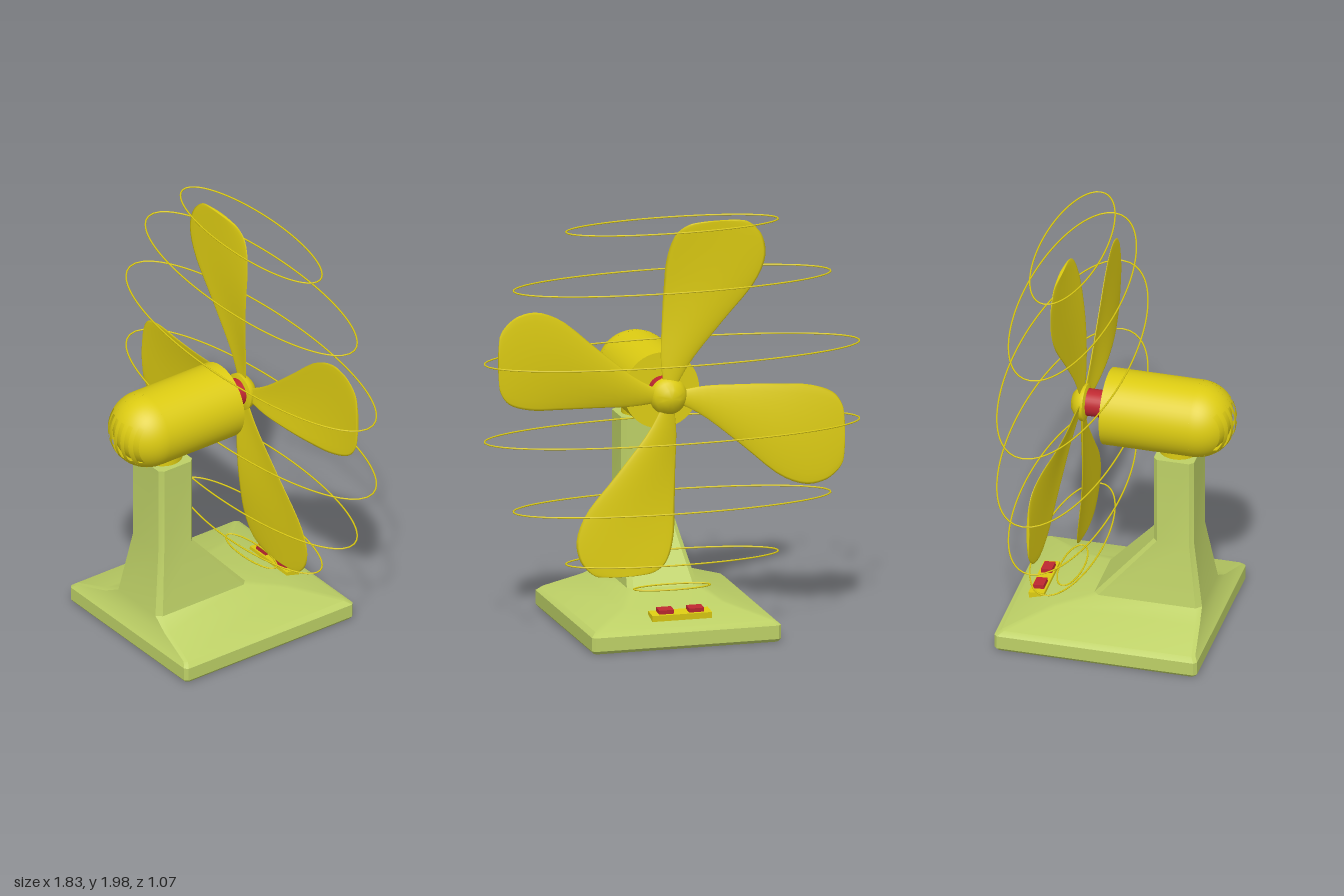
import * as THREE from 'three';
import { mergeVertices, toCreasedNormals } from 'three/addons/utils/BufferGeometryUtils.js';

const yellow = new THREE.MeshStandardMaterial({ color: 0xdccb12, side: THREE.DoubleSide });
yellow.name = 'yellow enamel';
const green = new THREE.MeshStandardMaterial({ color: 0xbdd066 });
green.name = 'pale green enamel';
const red = new THREE.MeshStandardMaterial({ color: 0xbe2830 });
red.name = 'red plastic';

const AXIS_Y = 1.14;

function add(parent, name, geometry, material, x = 0, y = 0, z = 0) {
  const mesh = new THREE.Mesh(geometry, material);
  mesh.name = name;
  mesh.position.set(x, y, z);
  parent.add(mesh);
  return mesh;
}

// Skin a stack of equal-length rings (ordered bottom to top) and cap both ends
function loft(rings) {
  const n = rings[0].length, pos = [], idx = [];
  rings.forEach(r => r.forEach(p => pos.push(...p)));
  for (let i = 0; i < rings.length - 1; i++) {
    for (let j = 0; j < n; j++) {
      const a = i * n + j, b = i * n + (j + 1) % n;
      idx.push(a, b, b + n, a, b + n, a + n);
    }
  }
  [0, rings.length - 1].forEach((k, top) => {
    const centre = [0, 1, 2].map(c => rings[k].reduce((s, p) => s + p[c], 0) / n);
    const m = pos.length / 3;
    pos.push(...centre);
    for (let j = 0; j < n; j++) {
      const a = k * n + j, b = k * n + (j + 1) % n;
      if (top) idx.push(m, a, b); else idx.push(m, b, a);
    }
  });
  const g = new THREE.BufferGeometry();
  g.setAttribute('position', new THREE.Float32BufferAttribute(pos, 3));
  g.setIndex(idx);
  g.computeVertexNormals();
  return g;
}

// Rectangle section with chamfered corners
function section([y, hx, z0, z1, c]) {
  return [[hx, y, z1 - c], [hx, y, z0 + c], [hx - c, y, z0], [-hx + c, y, z0],
    [-hx, y, z0 + c], [-hx, y, z1 - c], [-hx + c, y, z1], [hx - c, y, z1]];
}

function buildStand() {
  const levels = [ // y, half width, back z, front z, chamfer
    [0, 0.448, -0.503, 0.453, 0.012],
    [0.015, 0.46, -0.515, 0.465, 0.015],
    [0.08, 0.46, -0.515, 0.465, 0.015],
    [0.1, 0.435, -0.485, 0.45, 0.015],
    [0.155, 0.25, -0.29, 0.422, 0.02],
    [0.2, 0.17, -0.11, 0.41, 0.025],
    [0.51, 0.12, 0.165, 0.36, 0.02],
    [0.955, 0.12, 0.165, 0.36, 0.02],
  ];
  return toCreasedNormals(loft(levels.map(section)), 0.45);
}

// Domed motor cover: sphere bands about the x axis, with windows cut for the vents
function buildDome(group, R, z) {
  const edges = [-R];
  for (let i = 0; i < 6; i++) {
    const x = (i - 2.5) * 0.044;
    edges.push(x - 0.011, x + 0.011);
  }
  edges.push(R);
  const band = (x0, x1, p0, p1) => {
    const t0 = Math.acos(x1 / R), t1 = Math.acos(x0 / R);
    const segs = Math.max(2, Math.ceil((t1 - t0) / 0.1));
    const g = new THREE.SphereGeometry(R, 24, segs, p0, p1 - p0, t0, t1 - t0);
    g.rotateZ(-Math.PI / 2);
    add(group, 'motorDome', g, yellow, 0, AXIS_Y, z);
  };
  for (let i = 0; i < edges.length - 1; i++) {
    const x0 = edges[i], x1 = edges[i + 1];
    if (i % 2) {
      const mid = (x0 + x1) / 2;
      const a = Math.asin(0.095 / Math.sqrt(R * R - mid * mid));
      band(x0, x1, 0, Math.PI / 2 - a);
      band(x0, x1, Math.PI / 2 + a, Math.PI);
    } else band(x0, x1, 0, Math.PI);
  }
  // Inner shell seen through the vents
  const inner = new THREE.SphereGeometry(R - 0.022, 32, 16, 0, Math.PI);
  add(group, 'ventBacking', inner, yellow, 0, AXIS_Y, z);
}

// Teardrop blade pointing up, relative to the hub centre
function buildBlade() {
  const stations = [ // left edge, radius, right edge
    [-0.02, 0.02, 0.02], [-0.1, 0.16, 0.037], [-0.255, 0.35, 0.033], [-0.415, 0.54, 0.026],
    [-0.46, 0.66, 0.018], [-0.445, 0.75, -0.005], [-0.41, 0.8, -0.035],
    [-0.365, 0.833, -0.09], [-0.3, 0.842, -0.16],
  ].map(p => new THREE.Vector3(...p));
  const rings = new THREE.CatmullRomCurve3(stations).getPoints(28).map(p => {
    const mid = (p.x + p.z) / 2, half = (p.z - p.x) / 2, ring = [];
    const t = p.y / 0.842;
    for (let j = 0; j < 20; j++) {
      const a = j / 20 * Math.PI * 2, v = Math.cos(a);
      const swell = Math.sin(Math.PI * t);
      const z = -0.205 - 0.043 * t + 0.014 * swell * v + 0.014 * swell * v * v
        - 0.007 * Math.sin(a);
      ring.push([mid + half * v, p.y, z]);
    }
    return ring;
  });
  return loft(rings);
}

// Thin elliptical hoop lying flat
function buildHoop(rx, rz) {
  const pts = [];
  for (let i = 0; i < 48; i++) {
    const a = i / 48 * Math.PI * 2;
    pts.push(new THREE.Vector3(rx * Math.cos(a), 0, rz * Math.sin(a)));
  }
  return new THREE.TubeGeometry(new THREE.CatmullRomCurve3(pts, true), 96, 0.004, 6, true);
}

export function createModel() {
  const model = new THREE.Group();
  model.name = 'deskFan';

  add(model, 'stand', buildStand(), green);

  // Motor housing
  const motor = new THREE.Group();
  motor.name = 'motor';
  model.add(motor);
  const R = 0.183, domeZ = 0.352, backZ = -0.08;
  const barrel = new THREE.CylinderGeometry(R, R, domeZ - backZ, 48, 1, true);
  add(motor, 'motorBarrel', barrel.rotateX(Math.PI / 2), yellow, 0, AXIS_Y, (domeZ + backZ) / 2);
  const plate = new THREE.CircleGeometry(R, 48).rotateY(Math.PI);
  add(motor, 'motorBackPlate', plate, yellow, 0, AXIS_Y, backZ);
  buildDome(motor, R, domeZ);
  add(motor, 'motorSaddle', new THREE.CylinderGeometry(0.095, 0.095, 0.07, 32), yellow, 0, 0.985, 0.262);

  // Shaft and hub
  const shaft = new THREE.CylinderGeometry(0.065, 0.065, 0.12, 32).rotateX(Math.PI / 2);
  add(model, 'shaft', shaft, red, 0, AXIS_Y + 0.005, -0.13);
  const hubProfile = [[0, 0], [0.055, 0], [0.09, 0.012], [0.088, 0.03], [0.072, 0.055],
    [0.042, 0.076], [0, 0.086]].map(p => new THREE.Vector2(...p));
  const hub = toCreasedNormals(new THREE.LatheGeometry(hubProfile, 32).rotateX(-Math.PI / 2), 0.8);
  add(model, 'hub', hub, yellow, 0, AXIS_Y, -0.175);

  // Four blades around the hub
  const blades = new THREE.Group();
  blades.name = 'blades';
  blades.position.y = AXIS_Y;
  model.add(blades);
  const blade = mergeVertices(buildBlade());
  for (let i = 0; i < 4; i++) add(blades, 'blade', blade, yellow).rotation.z = i * Math.PI / 2;

  // Guard hoops
  const hoops = [[1.978, 0.515, 0.155], [1.71, 0.77, 0.233], [1.365, 0.91, 0.275], [0.99, 0.91, 0.275],
    [0.645, 0.77, 0.233], [0.377, 0.515, 0.155], [0.235, 0.185, 0.056]];
  for (const [y, rx, rz] of hoops) add(model, 'guardHoop', buildHoop(rx, rz), yellow, 0, y, -0.255);

  // Switch panel with two buttons
  const panel = new THREE.Group();
  panel.name = 'switchPanel';
  panel.position.set(0, 0.132, -0.39);
  panel.rotation.x = -0.1;
  model.add(panel);
  add(panel, 'switchPlate', new THREE.BoxGeometry(0.29, 0.035, 0.075), yellow);
  for (const s of [-1, 1]) {
    add(panel, 'switchButton', new THREE.BoxGeometry(0.072, 0.03, 0.052), red, s * 0.073, 0.022, 0.002);
  }
  return model;
}
